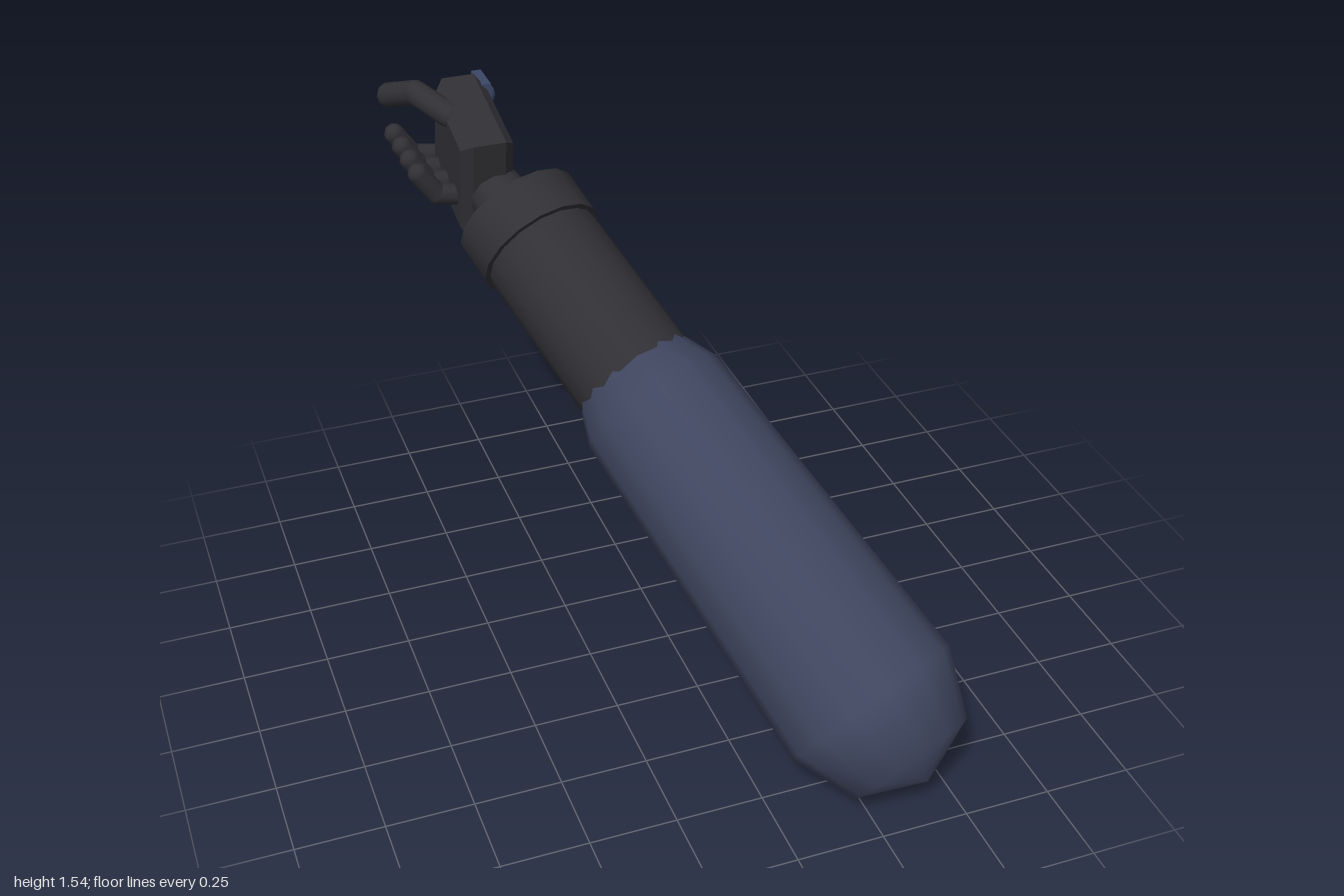
import * as THREE from 'three';
import { toCreasedNormals } from 'three/addons/utils/BufferGeometryUtils.js';

const V = (x, y, z) => new THREE.Vector3(x, y, z);
const UP = V(0, 1, 0);

export function createModel() {
  const material = (name, color) => Object.assign(new THREE.MeshStandardMaterial({ color }), { name });
  const cloth = material('navy cloth', 0x3f465f);
  const leather = material('black leather', 0x303035);
  const plating = material('blue plating', 0x3b4768);

  const model = new THREE.Group();
  model.name = 'arm';

  const add = (name, geometry, mat, parent = model) => {
    const mesh = new THREE.Mesh(geometry, mat);
    mesh.name = name;
    parent.add(mesh);
    return mesh;
  };

  // Lathe [radius, distance] pairs along an axis that starts at a point
  const turned = (name, profile, sides, start, axis, mat, crease) => {
    let geometry = new THREE.LatheGeometry(profile.map(([r, t]) => new THREE.Vector2(r, t)), sides);
    if (crease) geometry = toCreasedNormals(geometry, crease);
    const mesh = add(name, geometry, mat);
    mesh.position.copy(start);
    mesh.quaternion.setFromUnitVectors(UP, axis);
    return mesh;
  };

  // Jointed finger: straight segments with round joints
  const finger = (name, points, r, parent) => {
    const group = new THREE.Group();
    group.name = name;
    parent.add(group);
    points.forEach((p, i) => {
      add('joint', new THREE.SphereGeometry(r, 10, 6), leather, group).position.copy(p);
      if (!i) return;
      const from = points[i - 1], span = p.clone().sub(from);
      const bone = add('segment', new THREE.CylinderGeometry(r, r, span.length(), 10, 1, true), leather, group);
      bone.position.copy(from).addScaledVector(span, 0.5);
      bone.quaternion.setFromUnitVectors(UP, span.normalize());
    });
  };

  // Sleeve and forearm share one axis from shoulder to wrist
  const shoulder = V(0.4, 0.1, 0.95);
  const axis = V(-0.665, 1.12, -1.41).normalize();
  turned('sleeve', [[0, 0], [0.187, 0.076], [0.264, 0.26], [0.22, 1.29], [0.156, 1.445], [0, 1.51]],
    14, shoulder, axis, cloth);
  turned('forearm', [[0.182, 1.25], [0.173, 1.91], [0, 1.91]], 18, shoulder, axis, leather, 0.7);

  // Open cuff, tilted towards the hand
  const cuffAxis = V(-0.27, 0.48, -0.83).normalize();
  turned('cuff', [[0.17, 0], [0.187, 0], [0.187, 0.135], [0.17, 0.135], [0.17, 0]],
    16, V(-0.24, 1.177, -0.39), cuffAxis, leather, 0.7);

  // Wrist between cuff and palm
  const wristStart = V(-0.27, 1.22, -0.44), wristEnd = V(-0.34, 1.31, -0.65);
  const wristSpan = wristEnd.clone().sub(wristStart);
  turned('wrist', [[0.1, 0], [0.075, wristSpan.length()]], 12, wristStart, wristSpan.clone().normalize(), leather);

  const hand = new THREE.Group();
  hand.name = 'hand';
  model.add(hand);

  // Palm: chamfered block, thin in x, pitched upwards
  const bevel = 0.03, a = 0.17 - bevel, b = 0.167 - bevel;
  const outline = new THREE.Shape([[-a, -b], [a, -b], [a, b], [-a, b]].map(([x, y]) => new THREE.Vector2(x, y)));
  const depth = 0.155 - 2 * bevel;
  const palmGeometry = new THREE.ExtrudeGeometry(outline, {
    depth, bevelEnabled: true, bevelSize: bevel, bevelThickness: bevel, bevelSegments: 1,
  });
  palmGeometry.translate(0, 0, -depth / 2).rotateY(Math.PI / 2).rotateX(0.22);
  add('palm', palmGeometry, leather, hand).position.set(-0.343, 1.335, -0.715);

  // Knuckle guard on the back of the hand
  add('knuckleGuard', new THREE.BoxGeometry(0.03, 0.32, 0.11), plating, hand).position.set(-0.27, 1.355, -0.86);
  for (let i = 0; i < 4; i++) {
    add('knuckle', new THREE.SphereGeometry(0.035, 12, 8), plating, hand)
      .position.set(-0.26, 1.453 - i * 0.077, -0.878);
  }

  // Four curled fingers and the thumb
  for (let i = 0; i < 4; i++) {
    const z = -0.645 - i * 0.096;
    finger('finger', [V(-0.36, 1.25, z), V(-0.475, 1.27, z), V(-0.525, 1.343, z)], 0.031, hand);
  }
  finger('thumb', [V(-0.4, 1.47, -0.72), V(-0.47, 1.5, -0.85), V(-0.526, 1.457, -0.958)], 0.037, hand);

  return model;
}
